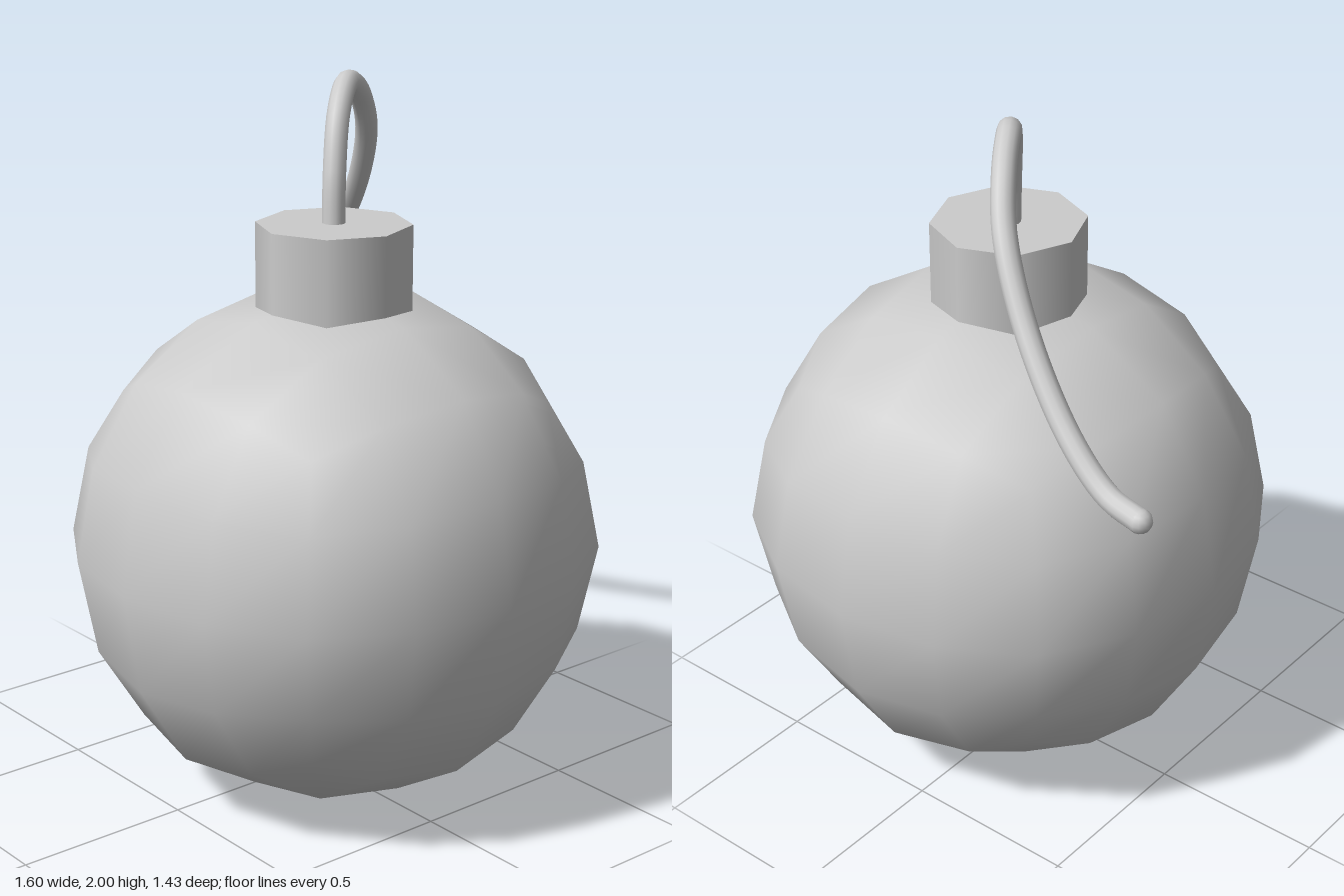
import * as THREE from 'three';
import { mergeVertices } from 'three/addons/utils/BufferGeometryUtils.js';

const CENTER_X = 0.076;
const CENTER_Y = 0.72;

// Cube subdivided into a rounded ball: each grid point moves by its symmetry class.
// Key: sorted grid coordinates (0..2). Value: new lengths for grid coordinates 1 and 2.
const ROUNDING = {
  '002': [0, 0.8785], '012': [0.3507, 0.8194], '022': [0, 0.6432],
  '112': [0.3264, 0.7639], '122': [0.3021, 0.599], '222': [0, 0.5093],
};

function ballGeometry(scale) {
  let geometry = new THREE.BoxGeometry(4, 4, 4, 4, 4, 4);
  geometry.deleteAttribute('normal');
  geometry.deleteAttribute('uv');
  geometry = mergeVertices(geometry);
  const pos = geometry.attributes.position;
  for (let i = 0; i < pos.count; i++) {
    const p = [pos.getX(i), pos.getY(i), pos.getZ(i)].map(Math.round);
    const [one, two] = ROUNDING[p.map(Math.abs).sort().join('')];
    const lengths = [0, one, two];
    pos.setXYZ(i, ...p.map((c) => Math.sign(c) * lengths[Math.abs(c)] * scale));
  }
  geometry.computeVertexNormals();
  return geometry;
}

export function createModel() {
  const group = new THREE.Group();
  const material = new THREE.MeshStandardMaterial({ color: 0xcccccc });
  const add = (name, geometry, x, y, z) => {
    const mesh = new THREE.Mesh(geometry, material);
    mesh.name = name;
    mesh.position.set(x, y, z);
    group.add(mesh);
  };

  // Round body
  add('body', ballGeometry(0.814), CENTER_X, CENTER_Y, 0);

  // Eight-sided neck, sunk a little into the body
  add('neck', new THREE.CylinderGeometry(0.214, 0.214, 0.28, 8), CENTER_X, 1.48, 0);

  // Fuse rising from the neck and drooping to the back right
  const path = new THREE.CatmullRomCurve3([
    [0.075, 1.58, 0], [0.057, 1.75, -0.017], [0.01, 1.9, -0.07],
    [-0.055, 1.968, -0.155], [-0.125, 1.92, -0.26], [-0.205, 1.8, -0.355],
    [-0.345, 1.605, -0.438], [-0.53, 1.41, -0.503], [-0.67, 1.312, -0.53],
    [-0.775, 1.293, -0.543],
  ].map((p) => new THREE.Vector3(...p)));
  add('fuse', new THREE.TubeGeometry(path, 64, 0.032, 12, false), 0, 0, 0);

  // Rounded end of the fuse
  add('fuseTip', new THREE.SphereGeometry(0.032, 12, 8), -0.775, 1.293, -0.543);

  return group;
}
